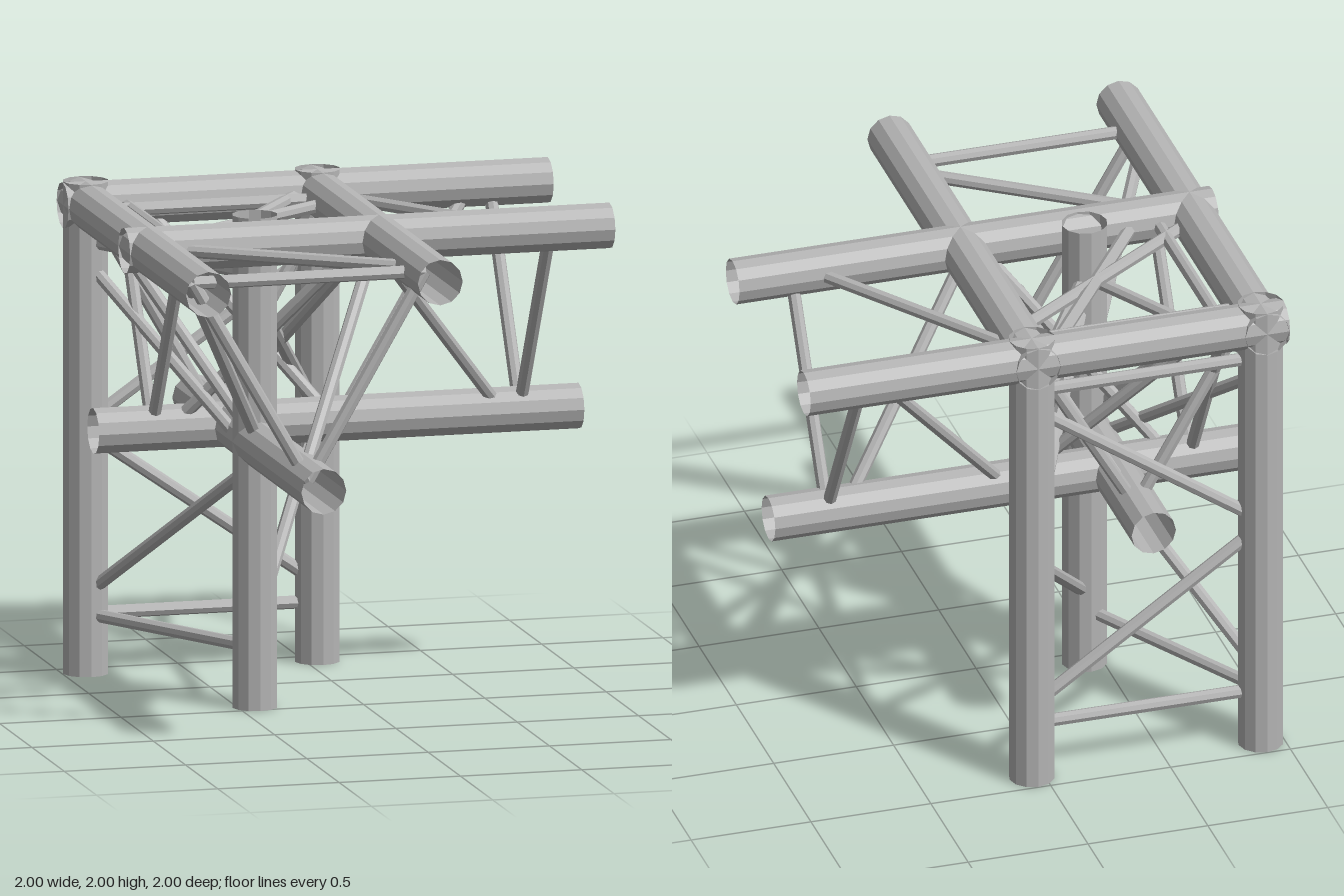
import * as THREE from 'three';

const metal = new THREE.MeshStandardMaterial({ color: 0xb4b4b4, flatShading: true, side: THREE.DoubleSide });
metal.name = 'aluminium';

const UP = new THREE.Vector3(0, 1, 0);

// Open round tube between two points
function tube(name, from, to, radius, sides) {
  const a = new THREE.Vector3(...from), b = new THREE.Vector3(...to);
  const dir = b.clone().sub(a);
  const mesh = new THREE.Mesh(new THREE.CylinderGeometry(radius, radius, dir.length(), sides, 1, true), metal);
  mesh.name = name;
  mesh.position.copy(a).add(b).multiplyScalar(0.5);
  mesh.quaternion.setFromUnitVectors(UP, dir.normalize());
  return mesh;
}

const CHORD_R = 0.0925, BRACE_R = 0.027;
const LOW = -0.905, HIGH = 0.05, MID = -0.43;
const TOP = 1.905, BOTTOM = 1.08;
const FRAME = 0.757, NEAR = 0.015, FAR = 0.68;

// A triangular truss: chords p, q, r are functions of the distance t along it.
// Diagonals run from the first chord (near the centre) to the second (far out).
function truss(name, chords, diagonals, skip) {
  const group = new THREE.Group();
  group.name = name;
  for (const chord of Object.values(chords)) {
    group.add(tube('chord', chord(-1), chord(1), CHORD_R, 12));
  }
  for (const side of [-1, 1]) {
    for (const [i, j] of ['pq', 'pr', 'qr']) {
      if (skip === i + j + side) continue;
      group.add(tube('crossStrut', chords[i](side * FRAME), chords[j](side * FRAME), BRACE_R, 8));
    }
    for (const [i, j] of diagonals) {
      group.add(tube('diagonalBrace', chords[i](side * NEAR), chords[j](side * FAR), BRACE_R, 8));
    }
  }
  return group;
}

export function createModel() {
  const model = new THREE.Group();
  model.name = 'trussCorner';

  // Horizontal truss running left to right: back, front and lower chords
  model.add(truss('sideTruss', {
    p: t => [t, TOP, LOW],
    q: t => [t, TOP, HIGH],
    r: t => [t, BOTTOM, MID],
  }, ['pq', 'qr', 'rp'], 'pq1'));

  // Horizontal truss running front to back: right, left and lower chords
  model.add(truss('frontTruss', {
    p: t => [LOW, TOP, t],
    q: t => [HIGH, TOP, t],
    r: t => [MID, BOTTOM, t],
  }, ['pq', 'qr', 'rp']));

  // Upright truss: two rear legs and one front leg
  model.add(truss('uprightTruss', {
    p: t => [LOW, 1 + t, LOW],
    q: t => [HIGH, 1 + t, LOW],
    r: t => [MID, 1 + t, -0.07],
  }, ['pq', 'qr', 'rp'], 'qr-1'));

  return model;
}
